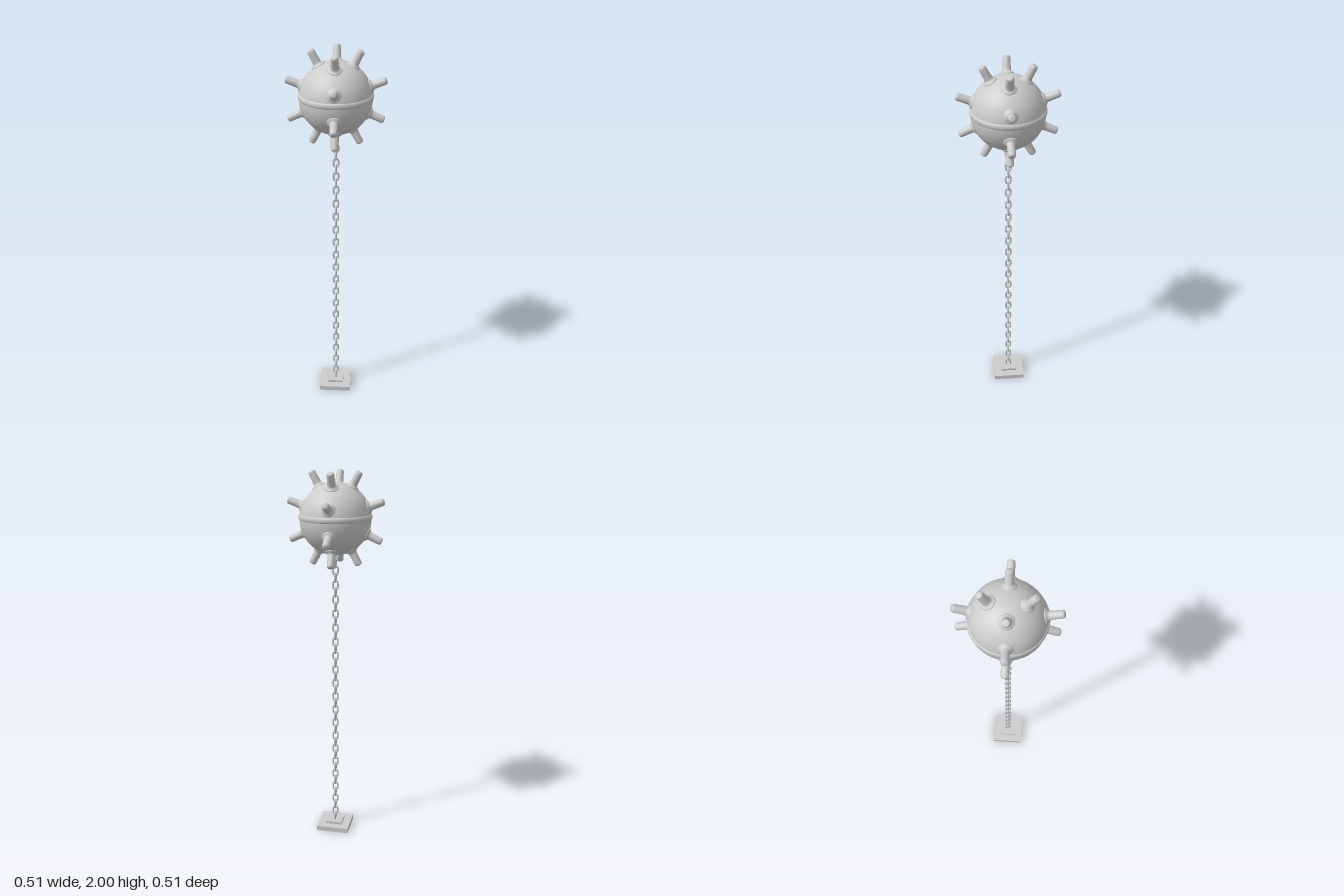
import * as THREE from 'three';

const material = new THREE.MeshStandardMaterial({ color: 0xcccccc });
const BALL_Y = 1.757, BALL_R = 0.184;

function add(parent, name, geometry) {
  const mesh = new THREE.Mesh(geometry, material);
  mesh.name = name;
  parent.add(mesh);
  return mesh;
}

// Spun profile, points listed as [radius, height] from bottom to top
function lathe(points, segments) {
  return new THREE.LatheGeometry(points.map(([r, y]) => new THREE.Vector2(r, y)), segments);
}

// Flared collar, straight shaft and rounded tip, measured from the ball centre
function hornGeometry() {
  return lathe([
    [0.036, 0.165], [0.036, 0.181], [0.034, 0.185], [0.030, 0.187], [0.025, 0.190],
    [0.0215, 0.195], [0.0205, 0.202], [0.0195, 0.23], [0.019, 0.255],
    [0.0175, 0.261], [0.014, 0.2645], [0.008, 0.266], [0, 0.266],
  ], 20);
}

// Stadium-shaped loop standing in the xy plane
function linkGeometry(halfWidth, halfLength) {
  const straight = halfLength - halfWidth, points = [];
  for (const side of [1, -1]) {
    for (let i = 0; i <= 6; i++) {
      const a = (i / 6) * Math.PI;
      points.push(new THREE.Vector3(
        side * halfWidth * Math.cos(a), side * (straight + halfWidth * Math.sin(a)), 0));
    }
  }
  const path = new THREE.CatmullRomCurve3(points, true);
  return new THREE.TubeGeometry(path, 32, 0.005, 8, true);
}

export function createModel() {
  const model = new THREE.Group();
  model.name = 'mooredSpikedBall';

  // Ball with a raised seam around its middle
  const ball = new THREE.Group();
  ball.name = 'ball';
  ball.position.y = BALL_Y;
  model.add(ball);
  add(ball, 'shell', new THREE.SphereGeometry(BALL_R, 40, 28));
  const bead = [];
  for (let i = 0; i <= 8; i++) {
    const a = (i / 8 - 0.5) * Math.PI;
    bead.push([0.181 + 0.008 * Math.cos(a), 0.015 * Math.sin(a)]);
  }
  add(ball, 'seamBand', lathe(bead, 40)).position.y = 0.010;

  // Four rings of four horns
  const horn = hornGeometry();
  const up = new THREE.Vector3(0, 1, 0);
  for (const degrees of [62, 20, -25, -62]) {
    const e = THREE.MathUtils.degToRad(degrees);
    for (let i = 0; i < 4; i++) {
      const a = (i * Math.PI) / 2;
      const direction = new THREE.Vector3(
        Math.cos(e) * Math.cos(a), Math.sin(e), Math.cos(e) * Math.sin(a));
      add(ball, 'horn', horn).quaternion.setFromUnitVectors(up, direction);
    }
  }

  // Chain of links, each turned a quarter from the last
  const chain = new THREE.Group();
  chain.name = 'chain';
  model.add(chain);
  const link = linkGeometry(0.0125, 0.0238);
  for (let i = 0; i < 40; i++) {
    const mesh = add(chain, 'chainLink', link);
    mesh.position.y = 0.0545 + 0.0388 * i;
    mesh.rotation.y = i % 2 ? 0 : Math.PI / 2;
  }

  // Stepped square anchor
  add(model, 'anchorPlate', new THREE.BoxGeometry(0.176, 0.026, 0.176)).position.y = 0.013;
  add(model, 'anchorStep', new THREE.BoxGeometry(0.09, 0.014, 0.09)).position.y = 0.032;

  return model;
}
